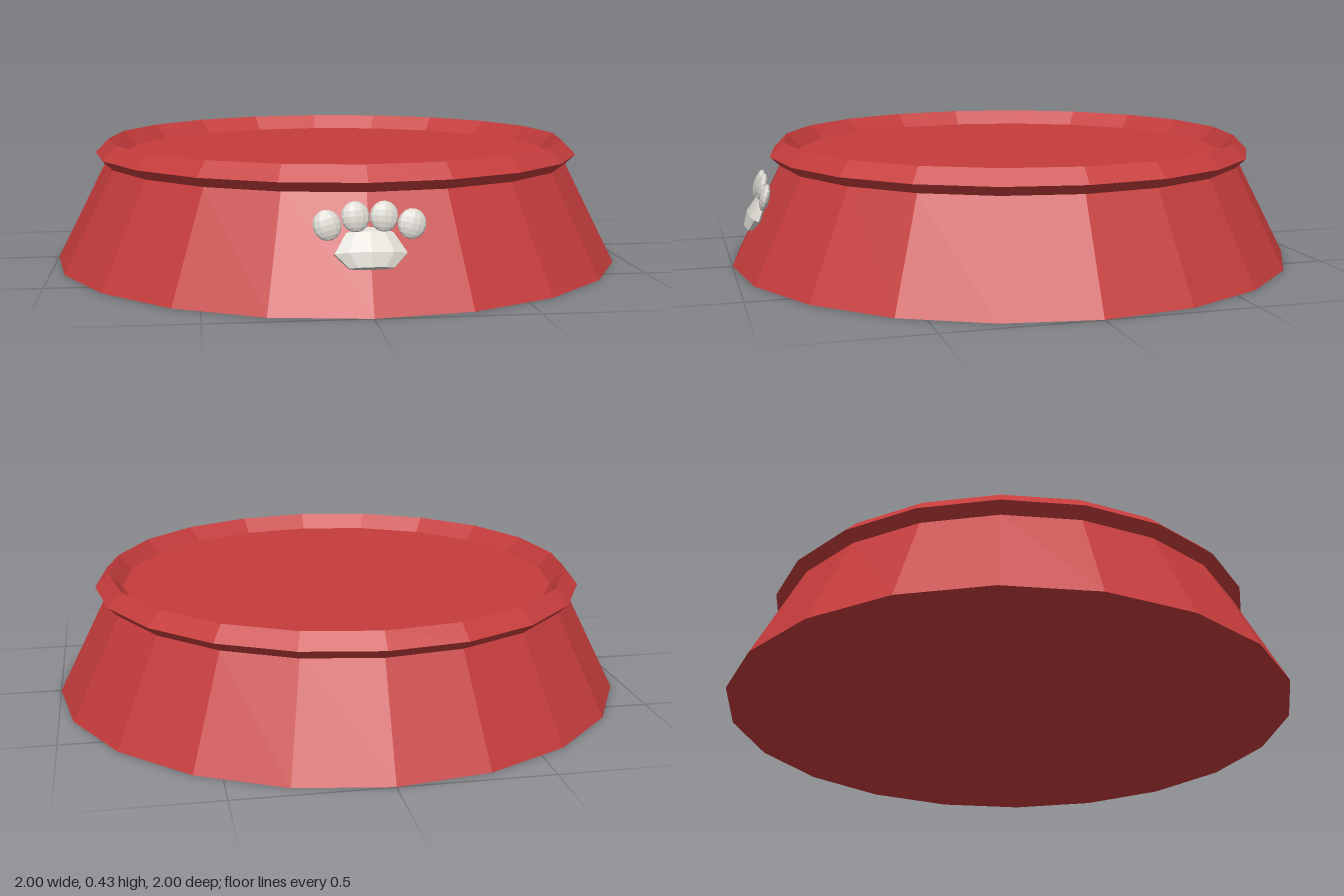
import * as THREE from 'three';

const red = new THREE.MeshStandardMaterial({ color: 0xc63c3c });
red.name = 'red';
const paleGrey = new THREE.MeshStandardMaterial({ color: 0xd6d3cc });
paleGrey.name = 'pale grey';

// Faceted mesh: every face keeps its own normal
function faceted(name, geometry, material) {
  const flat = geometry.toNonIndexed();
  flat.computeVertexNormals();
  const mesh = new THREE.Mesh(flat, material);
  mesh.name = name;
  return mesh;
}

function lathe(points, sides) {
  return new THREE.LatheGeometry(points.map(([r, y]) => new THREE.Vector2(r, y)), sides);
}

export function createModel() {
  const model = new THREE.Group();
  model.name = 'petBowl';

  // Bowl: underside, sloping wall, flared rim, shallow dish
  model.add(faceted('bowl', lathe([
    [0, 0], [1, 0], [0.825, 0.345], [0.86, 0.378],
    [0.812, 0.427], [0.764, 0.376], [0, 0.376],
  ], 20), red));

  // Paw emblem leaning back against the front wall
  const paw = new THREE.Group();
  paw.name = 'pawEmblem';
  const lean = -0.47;

  const pad = faceted('pawPad', lathe([
    [0, -0.062], [0.07, -0.058], [0.114, -0.014],
    [0.075, 0.05], [0.04, 0.066], [0, 0.07],
  ], 10), paleGrey);
  pad.scale.z = 0.22;
  pad.position.set(0, 0.188, 0.915);
  pad.rotation.x = lean;
  paw.add(pad);

  // Four toes, mirrored in pairs
  for (const side of [-1, 1]) {
    for (const [name, x, y] of [['innerToe', 0.043, 0.283], ['outerToe', 0.127, 0.259]]) {
      const toe = faceted(name, new THREE.SphereGeometry(0.043, 12, 8), paleGrey);
      toe.scale.set(1, 1.08, 0.38);
      toe.position.set(side * x, y, 0.893);
      toe.rotation.set(lean * 0.5, 0, -side * x * 2);
      paw.add(toe);
    }
  }
  model.add(paw);
  return model;
}
